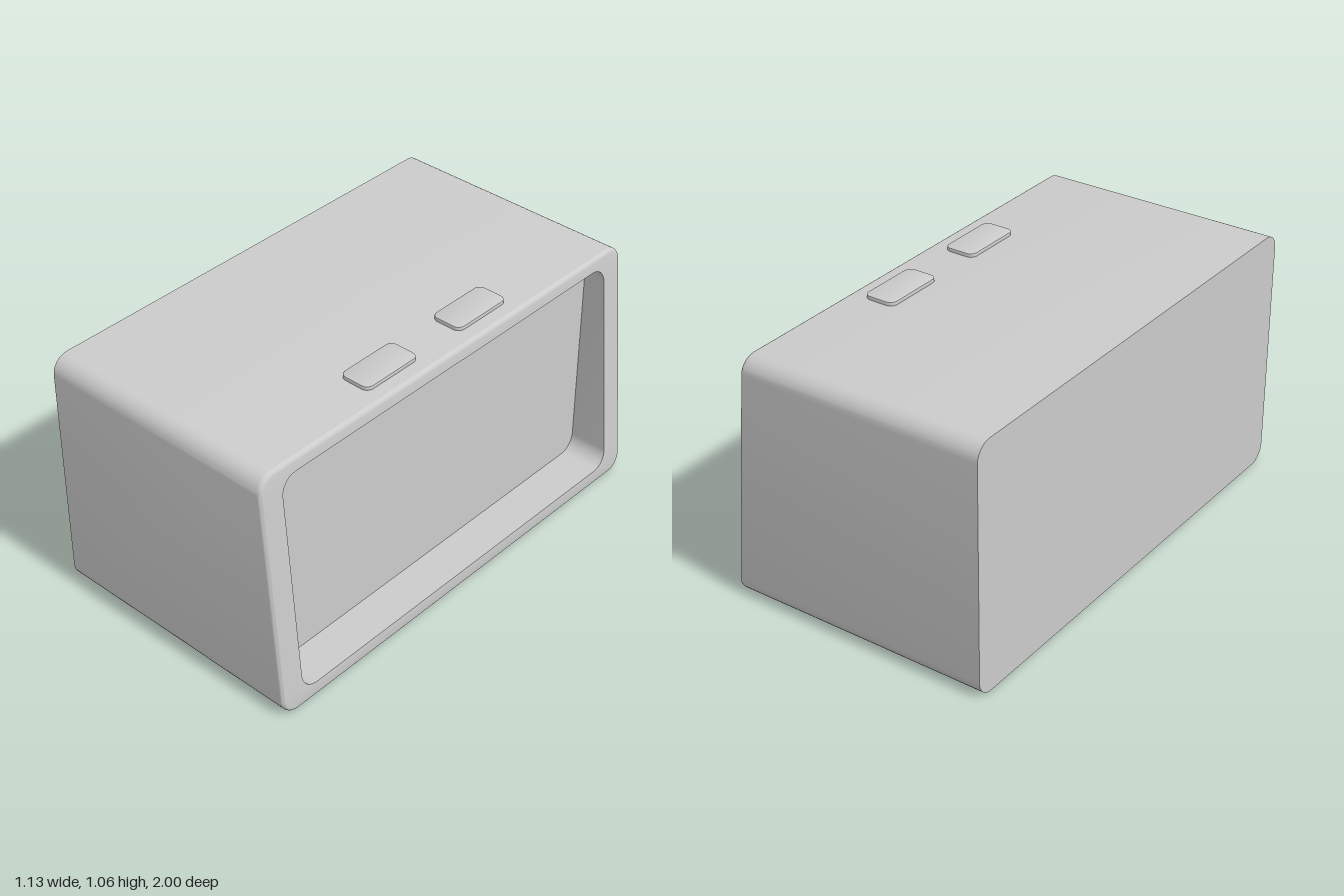
import * as THREE from 'three';
import { toCreasedNormals } from 'three/addons/utils/BufferGeometryUtils.js';

const material = new THREE.MeshStandardMaterial({ color: 0xcccccc });
const BACK = -0.565, PANEL = 0.39, BODY_TOP = 1.045, FILLET = 0.016;

// x of the sloping front face at height y
const frontX = (y) => 0.566 - 0.09 * y;

// Rounded rectangle in the z-y plane, counterclockwise seen from +x; xAt gives x from y
function ring(halfWidth, y0, y1, radius, xAt) {
  const points = [], steps = 8;
  const corners = [[1, 1], [-1, 1], [-1, -1], [1, -1]];
  corners.forEach(([su, sv], k) => {
    for (let i = 0; i <= steps; i++) {
      const a = (k + i / steps) * Math.PI / 2;
      const u = su * (halfWidth - radius) + radius * Math.cos(a);
      const y = (sv > 0 ? y1 - radius : y0 + radius) + radius * Math.sin(a);
      points.push([xAt(y), y, -u]);
    }
  });
  return points;
}

// Ring collapsed to one point, used to close a loft
const capRing = (x, y) => Array.from({ length: 36 }, () => [x, y, 0]);

// Skin between successive rings
function loft(rings) {
  const position = [];
  for (let i = 0; i + 1 < rings.length; i++) {
    const r = rings[i], s = rings[i + 1];
    for (let j = 0; j < r.length; j++) {
      const k = (j + 1) % r.length;
      position.push(...r[j], ...r[k], ...s[j], ...r[k], ...s[k], ...s[j]);
    }
  }
  const geometry = new THREE.BufferGeometry();
  geometry.setAttribute('position', new THREE.Float32BufferAttribute(position, 3));
  return toCreasedNormals(geometry, 0.6);
}

function addMesh(group, name, geometry) {
  const mesh = new THREE.Mesh(geometry, material);
  mesh.name = name;
  group.add(mesh);
  return mesh;
}

export function createModel() {
  const group = new THREE.Group();
  group.name = 'deskClock';

  // Housing: flat back, straight sides, filleted sloping rim, recess walls
  const rings = [capRing(BACK, 0.52), ring(1, 0, BODY_TOP, 0.07, () => BACK)];
  for (let i = 0; i <= 6; i++) {
    const a = (i / 6) * Math.PI / 2;
    const inset = FILLET * (1 - Math.cos(a));
    const setback = FILLET * (1 - Math.sin(a));
    rings.push(ring(1 - inset, inset, BODY_TOP - inset, 0.07 - inset, (y) => frontX(y) - setback));
  }
  const recess = (xAt) => ring(0.897, 0.06, 0.99, 0.07, xAt);
  rings.push(recess(frontX), recess(() => PANEL));
  addMesh(group, 'housing', loft(rings));

  // Upright display panel at the back of the recess
  addMesh(group, 'displayPanel', loft([recess(() => PANEL), capRing(PANEL, 0.52)]));

  // Two rounded buttons on top
  const w = 0.0675, d = 0.1375, r = 0.03;
  const outline = new THREE.Shape();
  outline.moveTo(w, -d + r).lineTo(w, d - r);
  outline.absarc(w - r, d - r, r, 0, Math.PI / 2);
  outline.absarc(-w + r, d - r, r, Math.PI / 2, Math.PI);
  outline.absarc(-w + r, -d + r, r, Math.PI, Math.PI * 1.5);
  outline.absarc(w - r, -d + r, r, Math.PI * 1.5, Math.PI * 2);
  const extruded = new THREE.ExtrudeGeometry(outline, {
    depth: 0.02, curveSegments: 8, bevelSize: 0.003, bevelOffset: -0.003, bevelThickness: 0.003, bevelSegments: 2,
  });
  const buttonGeometry = toCreasedNormals(extruded.rotateX(-Math.PI / 2), 0.6);
  for (const side of [1, -1]) {
    const button = addMesh(group, side > 0 ? 'frontButton' : 'backButton', buttonGeometry);
    button.position.set(0.338, 1.037, side * 0.249);
  }
  return group;
}
